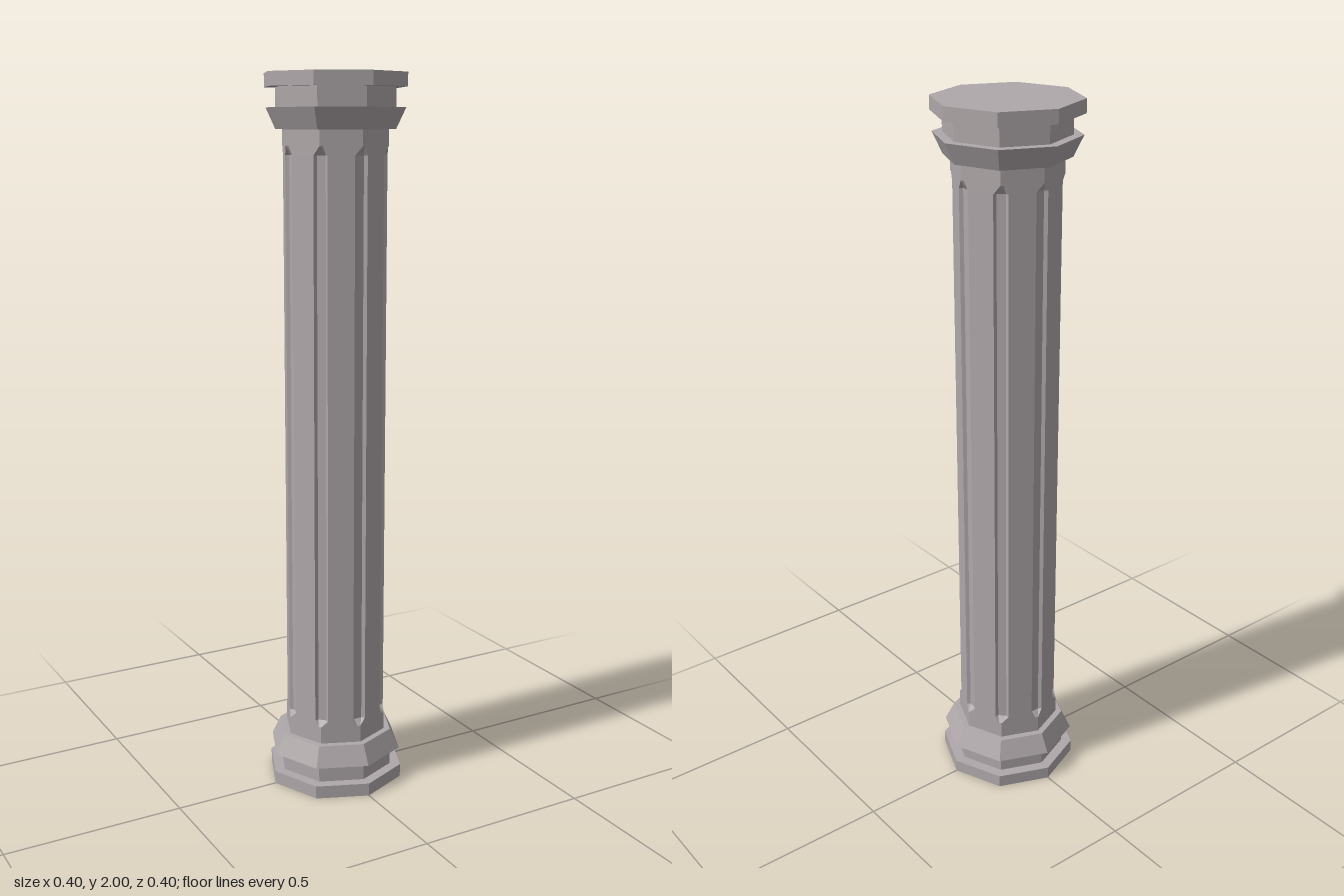
import * as THREE from 'three';

const material = new THREE.MeshStandardMaterial({ color: 0xb0a8aa, flatShading: true });
const SIDES = 8;
const SHAFT_R = 0.148;

// Octagonal slab between two heights
function slab(name, y0, y1, rBottom, rTop = rBottom) {
  const geo = new THREE.CylinderGeometry(rTop, rBottom, y1 - y0, SIDES);
  const mesh = new THREE.Mesh(geo, material);
  mesh.name = name;
  mesh.position.y = (y0 + y1) / 2;
  return mesh;
}

// Octagon ring whose corners carry a flute: edge half-width, floor half-width, floor radius
function ring(y, edge, floor, floorR) {
  const edgeR = SHAFT_R - edge * Math.tan(Math.PI / SIDES);
  const corner = [[-edge, edgeR], [-floor, floorR], [floor, floorR], [edge, edgeR]];
  const points = [];
  for (let i = 0; i < SIDES; i++) {
    const a = (i / SIDES) * Math.PI * 2;
    for (const [t, r] of corner) {
      points.push([r * Math.sin(a) + t * Math.cos(a), y, r * Math.cos(a) - t * Math.sin(a)]);
    }
  }
  return points;
}

// Shaft with a narrow flute sunk into each corner, tapering out at both ends
function flutedShaft() {
  const plain = (y) => ring(y, 0.008, 0, SHAFT_R);
  const fluted = (y) => ring(y, 0.019, 0.012, 0.132);
  const rings = [plain(0.14), plain(0.195), fluted(0.212), fluted(1.788), plain(1.812), plain(1.86)];
  const n = SIDES * 4;
  const index = [];
  for (let j = 0; j < rings.length - 1; j++) {
    for (let i = 0; i < n; i++) {
      const a = j * n + i;
      const b = j * n + ((i + 1) % n);
      index.push(a, b, b + n, a, b + n, a + n);
    }
  }
  const geo = new THREE.BufferGeometry();
  geo.setAttribute('position', new THREE.Float32BufferAttribute(rings.flat(2), 3));
  geo.setIndex(index);
  const flat = geo.toNonIndexed();
  flat.computeVertexNormals();
  const mesh = new THREE.Mesh(flat, material);
  mesh.name = 'flutedShaft';
  return mesh;
}

// Stacked mouldings at one end of the column
function endBlock(name) {
  const group = new THREE.Group();
  group.name = name;
  group.add(
    slab('plinth', 0, 0.037, 0.198),
    slab('neck', 0.037, 0.09, 0.167),
    slab('flaredMoulding', 0.09, 0.146, 0.194, 0.167),
  );
  return group;
}

export function createModel() {
  const column = new THREE.Group();
  column.name = 'column';
  const base = endBlock('base');
  const capital = endBlock('capital');
  // Turn the same mouldings upside down for the top
  capital.rotation.x = Math.PI;
  capital.position.y = 2;
  column.add(base, flutedShaft(), capital);
  return column;
}
